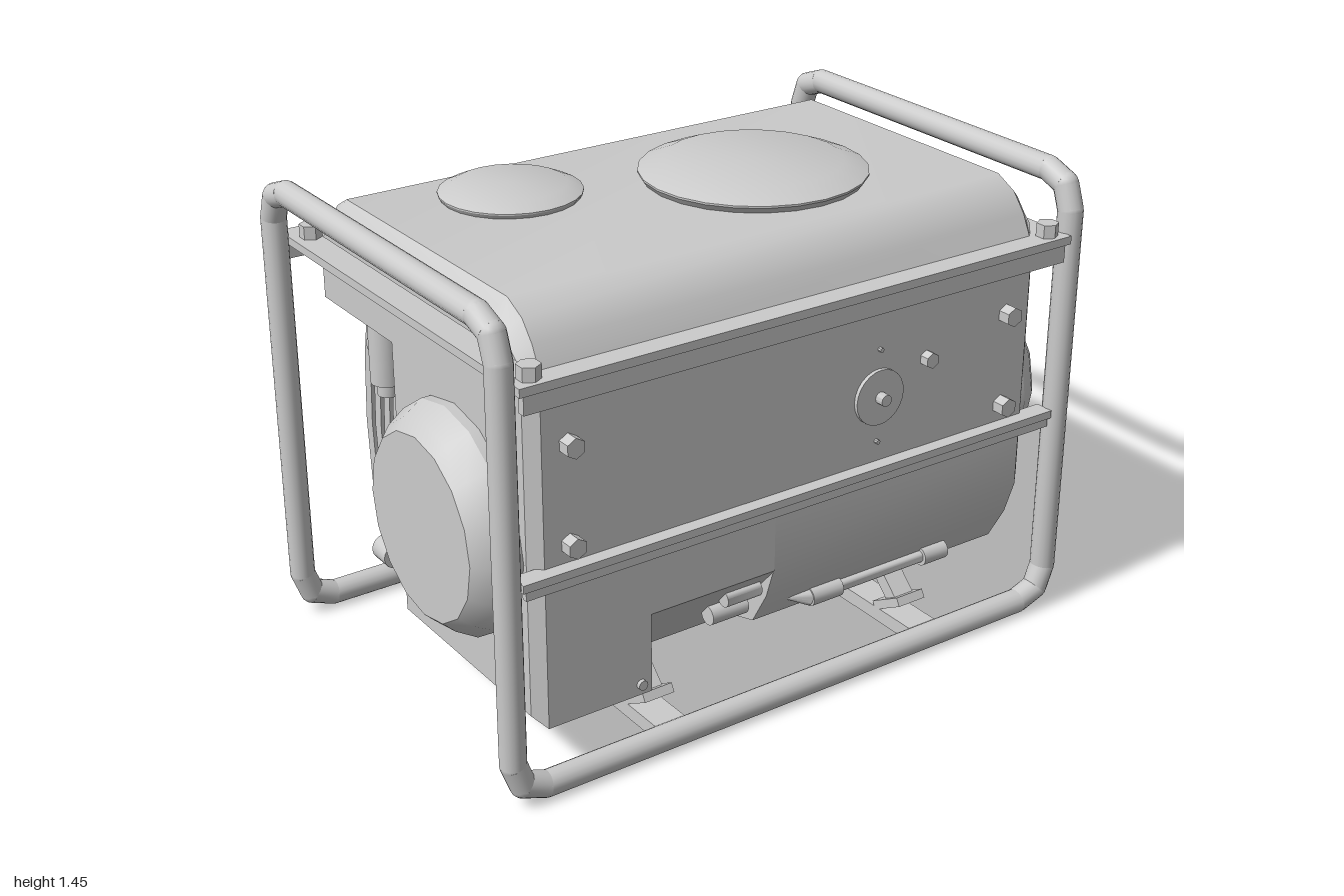
import * as THREE from 'three';
import { toCreasedNormals } from 'three/addons/utils/BufferGeometryUtils.js';

const material = new THREE.MeshStandardMaterial({ color: 0xcccccc });
const V = (x, y, z) => new THREE.Vector3(x, y, z);

export function createModel() {
  const model = new THREE.Group();
  model.name = 'generator';

  const add = (name, geometry, x = 0, y = 0, z = 0) => {
    const mesh = new THREE.Mesh(geometry, material);
    mesh.name = name;
    mesh.position.set(x, y, z);
    model.add(mesh);
    return mesh;
  };
  const box = (name, w, h, d, x, y, z) => add(name, new THREE.BoxGeometry(w, h, d), x, y, z);

  // Cylinder running from a to b
  const rod = (name, a, b, r0, r1 = r0, sides = 16) => {
    const geo = toCreasedNormals(new THREE.CylinderGeometry(r1, r0, a.distanceTo(b), sides), 0.9);
    const mesh = add(name, geo);
    mesh.position.copy(a).lerp(b, 0.5);
    mesh.quaternion.setFromUnitVectors(V(0, 1, 0), b.clone().sub(a).normalize());
  };

  // Side profile of [z, y] points extruded from x0 to x1
  const extrude = (points, x0, x1, bevel = 0) => {
    const shape = new THREE.Shape(points.map(([z, y]) => new THREE.Vector2(-z, y)));
    const geo = new THREE.ExtrudeGeometry(shape, {
      depth: x1 - x0 - 2 * bevel, bevelEnabled: bevel > 0, bevelSegments: 1,
      bevelSize: bevel, bevelThickness: bevel, bevelOffset: -bevel,
    });
    return geo.translate(0, 0, x0 + bevel).rotateY(Math.PI / 2);
  };
  const slab = (name, ...args) => add(name, toCreasedNormals(extrude(...args), 0.55));

  // Chamfered end of the housing: the outer face shrinks in front, behind and below
  const endCap = (name, points, side) => {
    const geo = extrude(points, side > 0 ? 0.835 : -0.87, side > 0 ? 0.87 : -0.835);
    const pos = geo.attributes.position;
    for (let k = 0; k < pos.count; k++) {
      if (pos.getX(k) * side < 0.85) continue;
      pos.setY(k, 1.08 + (pos.getY(k) - 1.08) * 0.96);
      pos.setZ(k, pos.getZ(k) * 0.945);
    }
    add(name, toCreasedNormals(geo, 0.55));
  };

  // Flat bar in the side plane, from [z, y] to [z, y]
  const strut = (name, x, [z0, y0], [z1, y1], width, thick) => {
    const mesh = box(name, width, thick, Math.hypot(z1 - z0, y1 - y0), x, (y0 + y1) / 2, (z0 + z1) / 2);
    mesh.rotation.x = -Math.atan2(y1 - y0, z1 - z0);
  };

  // Tubular frame: one closed loop with bent corners
  const X = 0.961, Z = 0.632, Y0 = 0.041, Y1 = 1.411, R = 0.038;
  const corners = [
    V(-X, Y0, Z), V(X, Y0, Z), V(X, Y1, Z), V(X, Y1, -Z),
    V(X, Y0, -Z), V(-X, Y0, -Z), V(-X, Y1, -Z), V(-X, Y1, Z),
  ];
  const path = [];
  corners.forEach((c, i) => {
    const toPrev = corners[(i + 7) % 8].clone().sub(c).normalize();
    const toNext = corners[(i + 1) % 8].clone().sub(c).normalize();
    path.push(c.clone().addScaledVector(toPrev, 0.1),
      c.clone().addScaledVector(toPrev, 0.027).addScaledVector(toNext, 0.027),
      c.clone().addScaledVector(toNext, 0.1));
  });
  path.forEach((p, i) => {
    rod('frameTube', p, path[(i + 1) % path.length], R);
    add('frameJoint', new THREE.SphereGeometry(R, 16, 10), p.x, p.y, p.z);
  });

  // Cross bars and slanted mounting feet
  for (const x of [-0.435, 0.495]) {
    box('crossBar', 0.1, 0.045, 1.24, x, 0.046, 0);
    for (const s of [1, -1]) {
      strut('footStrut', x, [s * 0.37, 0.24], [s * 0.505, 0.11], 0.07, 0.045);
      strut('footPlate', x, [s * 0.55, 0.132], [s * 0.44, 0.07], 0.1, 0.028);
    }
  }

  // Housing: square left part, cut-away middle, rounded right part
  const rear = [[-0.12, 0.196], [-0.12, 1.08], [-0.55, 1.08], [-0.55, 1.24], [0.613, 1.24]];
  const square = [...rear, [0.613, 0.196]];
  const cut = [...rear, [0.613, 0.44], [0.4, 0.196]];
  const round = [...rear, [0.613, 0.62], [0.613, 0.45], [0.577, 0.34], [0.515, 0.231], [0.395, 0.196]];
  endCap('housingLeftEnd', square, -1);
  slab('housingLeft', square, -0.835, -0.5);
  slab('housingMiddle', cut, -0.5, -0.08);
  slab('housingRight', round, -0.08, 0.835);
  endCap('housingRightEnd', round, 1);

  // Rounded hood with two domed lids
  slab('hood', [[0.61, 1.24], [0.575, 1.31], [0.53, 1.365], [0.46, 1.4],
    [-0.42, 1.4], [-0.48, 1.365], [-0.52, 1.31], [-0.555, 1.24]], -0.87, 0.87, 0.04);
  const lid = (name, r, h, x, z) => add(name, toCreasedNormals(new THREE.LatheGeometry([
    [r * 0.95, 0], [r, h * 0.4], [r, h * 0.5], [r * 0.78, h], [0, h],
  ].map(([a, b]) => new THREE.Vector2(a, b)), 24), 0.5), x, 1.395, z);
  lid('largeLid', 0.337, 0.058, 0.235, 0.065);
  lid('smallLid', 0.208, 0.042, -0.43, -0.19);

  // Flange with hanging lips, corner bolts and the front belt
  box('flange', 1.86, 0.025, 1.35, 0, 1.2375, 0);
  for (const s of [1, -1]) box('flangeLip', 1.83, 0.06, 0.025, 0, 1.2, s * 0.655);
  box('beltShelf', 1.85, 0.024, 0.06, 0, 0.674, 0.625);
  box('beltLip', 1.83, 0.05, 0.018, 0, 0.66, 0.642);
  for (const x of [-0.875, 0.875]) {
    for (const z of [-0.575, 0.63]) {
      rod('flangeBolt', V(x, 1.25, z), V(x, 1.29, z), 0.033, 0.033, 6);
    }
  }

  // Front panel fittings
  const stud = (name, x, y, r, length, sides) =>
    rod(name, V(x, y, 0.6), V(x, y, 0.613 + length), r, r, sides);
  for (const x of [-0.755, 0.75]) {
    for (const y of [0.74, 1.03]) stud('panelBolt', x, y, 0.03, 0.04, 6);
  }
  stud('smallBolt', 0.45, 0.965, 0.024, 0.03, 6);
  stud('dial', 0.275, 0.89, 0.085, 0.012, 24);
  stud('dialPin', 0.275, 0.89, 0.018, 0.04, 12);
  for (const y of [0.75, 1.035]) stud('dialScrew', 0.275, y, 0.007, 0.012, 8);
  stud('drainPlug', -0.535, 0.23, 0.015, 0.012, 12);

  // Connectors in the cut-away
  rod('connector', V(-0.22, 0.37, 0.56), V(-0.1, 0.37, 0.56), 0.026);
  rod('connector', V(-0.245, 0.305, 0.52), V(-0.12, 0.305, 0.52), 0.03);

  // Lever lying along the rounded front edge
  rod('leverTip', V(0.02, 0.285, 0.54), V(0.1, 0.265, 0.545), 0.004, 0.026);
  rod('leverHead', V(0.1, 0.265, 0.545), V(0.21, 0.265, 0.545), 0.03);
  rod('leverShaft', V(0.2, 0.265, 0.545), V(0.53, 0.265, 0.545), 0.019);
  rod('leverGrip', V(0.525, 0.265, 0.545), V(0.615, 0.265, 0.545), 0.03);

  // Curved rear cooling plates
  for (let i = 0; i < 7; i++) {
    const geo = new THREE.BoxGeometry(1.49, 0.84, 0.036, 1, 4, 1);
    const pos = geo.attributes.position;
    for (let k = 0; k < pos.count; k++) {
      const t = pos.getY(k) / 0.42;
      pos.setZ(k, pos.getZ(k) - 0.056 * (1 - t * t));
    }
    geo.computeVertexNormals();
    add('coolingPlate', geo, 0, 0.64, -0.138 - 0.0575 * i);
  }

  // Both sides: stepped round cover and plate fittings
  const cover = [[0.337, 0], [0.337, 0.04], [0.302, 0.1], [0.27, 0.133], [0, 0.133]]
    .map(([r, h]) => new THREE.Vector2(r, h));
  for (const s of [1, -1]) {
    const geo = new THREE.LatheGeometry(cover, 16).rotateZ(-s * Math.PI / 2);
    add('sideCover', toCreasedNormals(geo, 0.45), s * 0.86, 0.69, 0.23);
    const x = s * 0.81;
    rod('valve', V(x, 0.89, -0.27), V(x, 1.085, -0.27), 0.05);
    rod('valveNozzle', V(x, 0.85, -0.27), V(x, 0.9, -0.27), 0.032);
    rod('valveBranch', V(s * 0.785, 0.975, -0.27), V(s * 0.785, 0.975, -0.365), 0.04);
    rod('lowerPort', V(x, 0.31, -0.285), V(x, 0.31, -0.362), 0.04);
    rod('portStub', V(s * 0.73, 0.31, -0.32), V(x, 0.31, -0.32), 0.03);
  }
  return model;
}
